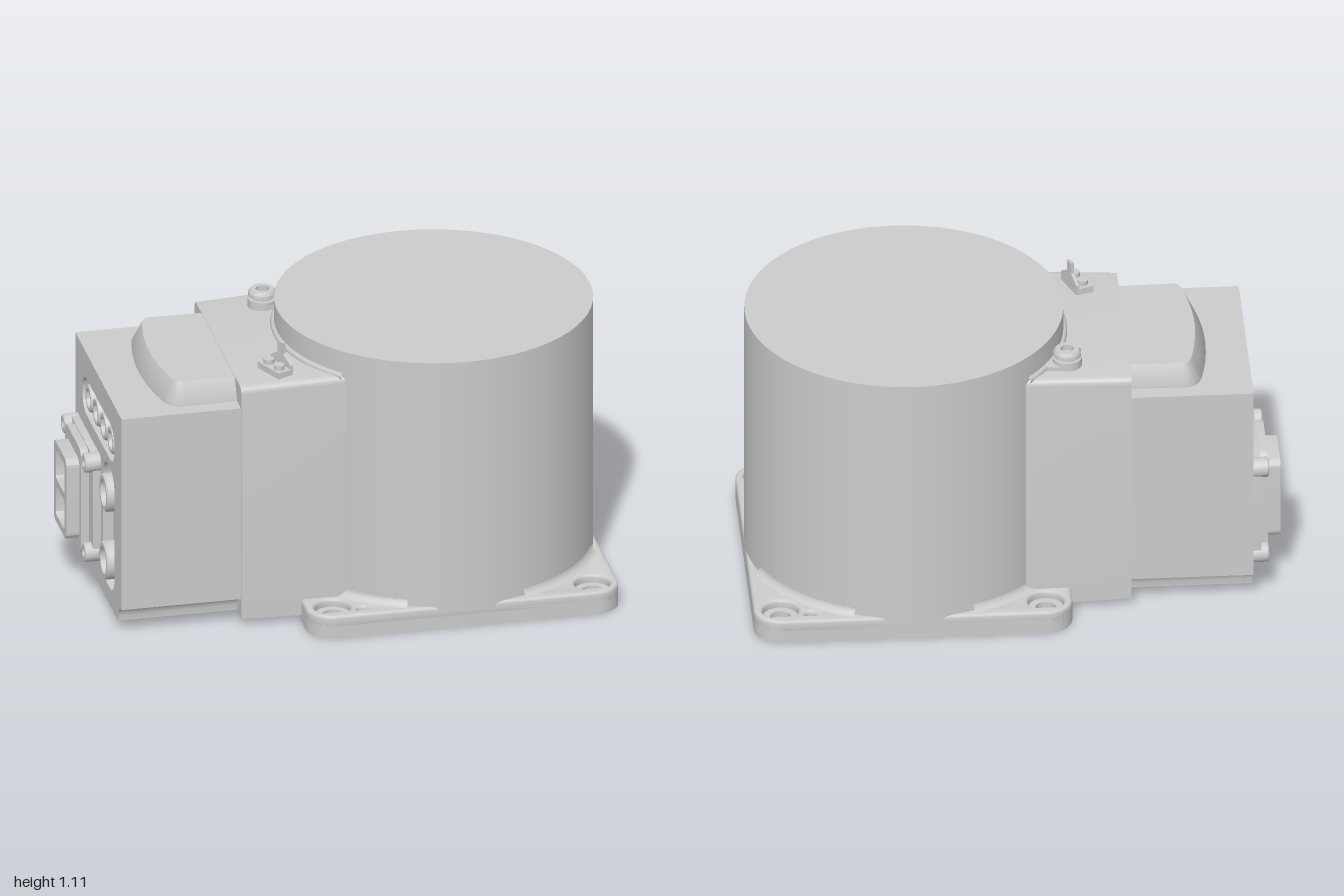
import * as THREE from 'three';
import { toCreasedNormals } from 'three/addons/utils/BufferGeometryUtils.js';

const material = new THREE.MeshStandardMaterial({ color: 0xcccccc, side: THREE.DoubleSide });

function add(parent, name, geometry, x = 0, y = 0, z = 0) {
  const mesh = new THREE.Mesh(geometry, material);
  mesh.name = name;
  mesh.position.set(x, y, z);
  parent.add(mesh);
  return mesh;
}

// Rounded rectangle, centred on (cx, cy)
function roundRect(cx, cy, w, h, r, Type = THREE.Shape) {
  const s = new Type(), a = w / 2 - r, b = h / 2 - r;
  s.absarc(cx + a, cy + b, r, 0, Math.PI / 2);
  s.absarc(cx - a, cy + b, r, Math.PI / 2, Math.PI);
  s.absarc(cx - a, cy - b, r, Math.PI, Math.PI * 1.5);
  s.absarc(cx + a, cy - b, r, Math.PI * 1.5, Math.PI * 2);
  s.closePath();
  return s;
}

const circle = (x, y, r) => new THREE.Path().absarc(x, y, r, 0, Math.PI * 2);

function extrude(shape, depth, options = {}) {
  const g = new THREE.ExtrudeGeometry(shape, { depth, bevelEnabled: false, curveSegments: 12, ...options });
  return toCreasedNormals(g, 0.6);
}
// Extrude upwards: shape (x, y) lies on the plan as (x, -z)
const extrudeUp = (shape, depth, options) => extrude(shape, depth, options).rotateX(-Math.PI / 2);
// Extrude towards +x: shape (x, y) stands as (-z, y)
const extrudeX = (shape, depth, options) => extrude(shape, depth, options).rotateY(Math.PI / 2);

// Turned part from [radius, height] pairs; alongX points its top to -x
function turned(points, alongX = false, segments = 32) {
  const v = points.map(([r, h]) => new THREE.Vector2(r, h));
  const g = toCreasedNormals(new THREE.LatheGeometry(v, segments), 0.6);
  return alongX ? g.rotateZ(Math.PI / 2) : g;
}

// Square mounting plate with counterbored corner holes and two pin holes
function buildBase(root) {
  const base = new THREE.Group();
  base.name = 'basePlate';
  const layer = (holeRadius) => {
    const s = roundRect(0.4, 0, 1.2, 1.18, 0.1);
    for (const x of [-0.1, 0.9]) for (const z of [-0.5, 0.5]) s.holes.push(circle(x, z, holeRadius));
    s.holes.push(circle(0.79, 0.54, 0.021), circle(0.005, -0.54, 0.021));
    return s;
  };
  add(base, 'plateBottom', extrudeUp(layer(0.04), 0.06));
  add(base, 'plateTop', extrudeUp(layer(0.068), 0.03, {
    bevelEnabled: true, bevelThickness: 0.012, bevelSize: 0.012, bevelOffset: -0.012, bevelSegments: 3,
  }), 0, 0.05);
  // Concave fillet towards each corner of the plate
  const profile = [];
  for (let i = 0; i <= 6; i++) {
    const a = (i / 6) * Math.PI / 2;
    profile.push(new THREE.Vector2(0.635 - 0.036 * Math.sin(a), 0.125 - 0.035 * Math.cos(a)));
  }
  for (let i = 0; i < 4; i++) {
    const start = i * Math.PI / 2 + 0.38;
    add(base, 'cornerFillet', new THREE.LatheGeometry(profile, 16, start, Math.PI / 2 - 0.76), 0.4, 0, 0);
  }
  root.add(base);
}

// Rear housing: lower block with an open end wall, taller neck, and raised hood
function buildHousing(root) {
  const section = () => {
    const s = new THREE.Shape();
    s.moveTo(-0.34, 0.04);
    s.lineTo(0.34, 0.04);
    s.quadraticCurveTo(0.34, 0.105, 0.4, 0.11);
    s.lineTo(0.4, 0.9);
    s.lineTo(-0.4, 0.9);
    s.lineTo(-0.4, 0.11);
    s.quadraticCurveTo(-0.34, 0.105, -0.34, 0.04);
    return s;
  };
  const wall = section();
  wall.holes.push(
    roundRect(0, 0.72, 0.56, 0.15, 0.074, THREE.Path),
    roundRect(-0.18, 0.36, 0.2, 0.5, 0.08, THREE.Path),
  );
  add(root, 'rearBlock', extrudeX(section(), 0.43), -0.85);
  add(root, 'rearWall', extrudeX(wall, 0.04), -0.89);

  // The neck grows slightly towards the drum
  const neck = new THREE.Shape();
  neck.moveTo(-0.405, 0.03);
  neck.lineTo(0.405, 0.03);
  neck.lineTo(0.405, 0.955);
  neck.quadraticCurveTo(0.405, 0.985, 0.375, 0.985);
  neck.lineTo(-0.375, 0.985);
  neck.quadraticCurveTo(-0.405, 0.985, -0.405, 0.955);
  neck.closePath();
  const g = extrudeX(neck, 0.5);
  const p = g.attributes.position;
  for (let i = 0; i < p.count; i++) {
    const t = p.getX(i) / 0.5;
    p.setZ(i, p.getZ(i) * (1 + 0.04 * t));
    p.setY(i, p.getY(i) + (p.getY(i) > 0.5 ? 0.018 : -0.008) * t);
  }
  add(root, 'neck', g, -0.43);

  // Low lip where the neck meets the drum
  add(root, 'neckLip', new THREE.TorusGeometry(0.6, 0.014, 8, 40, 1.5)
    .rotateX(Math.PI / 2).rotateY(Math.PI + 0.75), 0.4, 0.997, 0);

  const hood = new THREE.Shape();
  hood.moveTo(-0.38, -0.33);
  hood.lineTo(-0.38, 0.33);
  hood.lineTo(-0.63, 0.335);
  hood.quadraticCurveTo(-0.69, 0.335, -0.705, 0.26);
  hood.quadraticCurveTo(-0.765, 0, -0.705, -0.26);
  hood.quadraticCurveTo(-0.69, -0.335, -0.63, -0.335);
  hood.closePath();
  add(root, 'hood', extrudeUp(hood, 0.01, {
    bevelEnabled: true, bevelThickness: 0.08, bevelSize: 0.04, bevelOffset: -0.04, bevelSegments: 1,
  }), 0, 0.893);
}

// Sockets and plug on the rear wall
function buildConnectors(root) {
  const group = new THREE.Group();
  group.name = 'connectors';
  for (let i = 0; i < 4; i++) {
    add(group, 'smallSocket', turned([
      [0.056, 0], [0.056, 0.025], [0.05, 0.037], [0.036, 0.037], [0.036, 0.008], [0.014, 0.008], [0.014, 0.025], [0, 0.025],
    ], true), -0.85, 0.72, -0.19 + i * 0.127);
  }
  for (const y of [0.22, 0.5]) {
    add(group, 'roundSocket', turned([
      [0.074, 0], [0.074, 0.055], [0.068, 0.062], [0.052, 0.062], [0.052, 0.015], [0, 0.015],
    ], true), -0.85, y, 0.18);
  }
  // Flange frame with raised screw lugs
  const flange = roundRect(0.17, 0.365, 0.42, 0.44, 0.05);
  flange.holes.push(roundRect(0.17, 0.365, 0.16, 0.25, 0.02, THREE.Path));
  add(group, 'plugFlange', extrudeX(flange, 0.03), -0.92);
  const rim = roundRect(0.17, 0.365, 0.28, 0.43, 0.04);
  rim.holes.push(roundRect(0.17, 0.365, 0.2, 0.3, 0.02, THREE.Path));
  add(group, 'plugRim', extrudeX(rim, 0.03), -0.95);
  for (const y of [0.18, 0.55]) for (const z of [-0.35, 0.01]) {
    add(group, 'flangeScrew', turned([[0.038, 0], [0.038, 0.055], [0.033, 0.06], [0.018, 0.06], [0.018, 0.045], [0, 0.045]], true, 20),
      -0.89, y, z);
  }
  // Hollow plug shell and its contact blocks
  const shell = roundRect(0.17, 0.365, 0.22, 0.33, 0.03);
  shell.holes.push(roundRect(0.17, 0.29, 0.15, 0.12, 0.015, THREE.Path));
  shell.holes.push(roundRect(0.17, 0.44, 0.15, 0.12, 0.015, THREE.Path));
  add(group, 'plugShell', extrudeX(shell, 0.11), -1);
  for (const y of [0.29, 0.44]) add(group, 'contactBlock', new THREE.BoxGeometry(0.06, 0.08, 0.1), -0.92, y, -0.17);
  root.add(group);
}

// Screw and cable bracket on top of the neck
function buildTopFittings(root) {
  const screw = new THREE.Group();
  screw.name = 'groundScrew';
  screw.position.set(-0.195, 0.99, -0.29);
  add(screw, 'screwHead', turned([
    [0.055, 0], [0.055, 0.035], [0.04, 0.035], [0.04, 0.045], [0.053, 0.045], [0.053, 0.06],
    [0.045, 0.072], [0.025, 0.072], [0.025, 0.05], [0, 0.05],
  ]));
  add(screw, 'screwTab', new THREE.BoxGeometry(0.08, 0.02, 0.1), 0.04, 0.01, 0);
  root.add(screw);

  const bracket = new THREE.Group();
  bracket.name = 'cableBracket';
  bracket.position.set(-0.275, 0.985, 0.295);
  bracket.rotation.y = 0.4;
  add(bracket, 'bracketFoot', new THREE.BoxGeometry(0.065, 0.03, 0.135), 0, 0.015, 0);
  for (const z of [-0.033, 0.033]) add(bracket, 'bracketScrew', new THREE.CylinderGeometry(0.02, 0.02, 0.02, 20), -0.005, 0.038, z);
  const tab = new THREE.Shape([[-0.065, 0], [0.065, 0], [0.065, 0.045], [0.02, 0.075], [0.02, 0.12], [-0.015, 0.12], [-0.015, 0.075], [-0.065, 0.045]]
    .map(([x, y]) => new THREE.Vector2(x, y)));
  add(bracket, 'bracketTab', extrudeX(tab, 0.012), 0.025, 0, 0);
  root.add(bracket);
}

export function createModel() {
  const root = new THREE.Group();
  root.name = 'motorBase';
  buildBase(root);
  add(root, 'drum', new THREE.CylinderGeometry(0.6, 0.6, 1.03, 96), 0.4, 0.585, 0);
  buildHousing(root);
  buildConnectors(root);
  buildTopFittings(root);
  return root;
}
